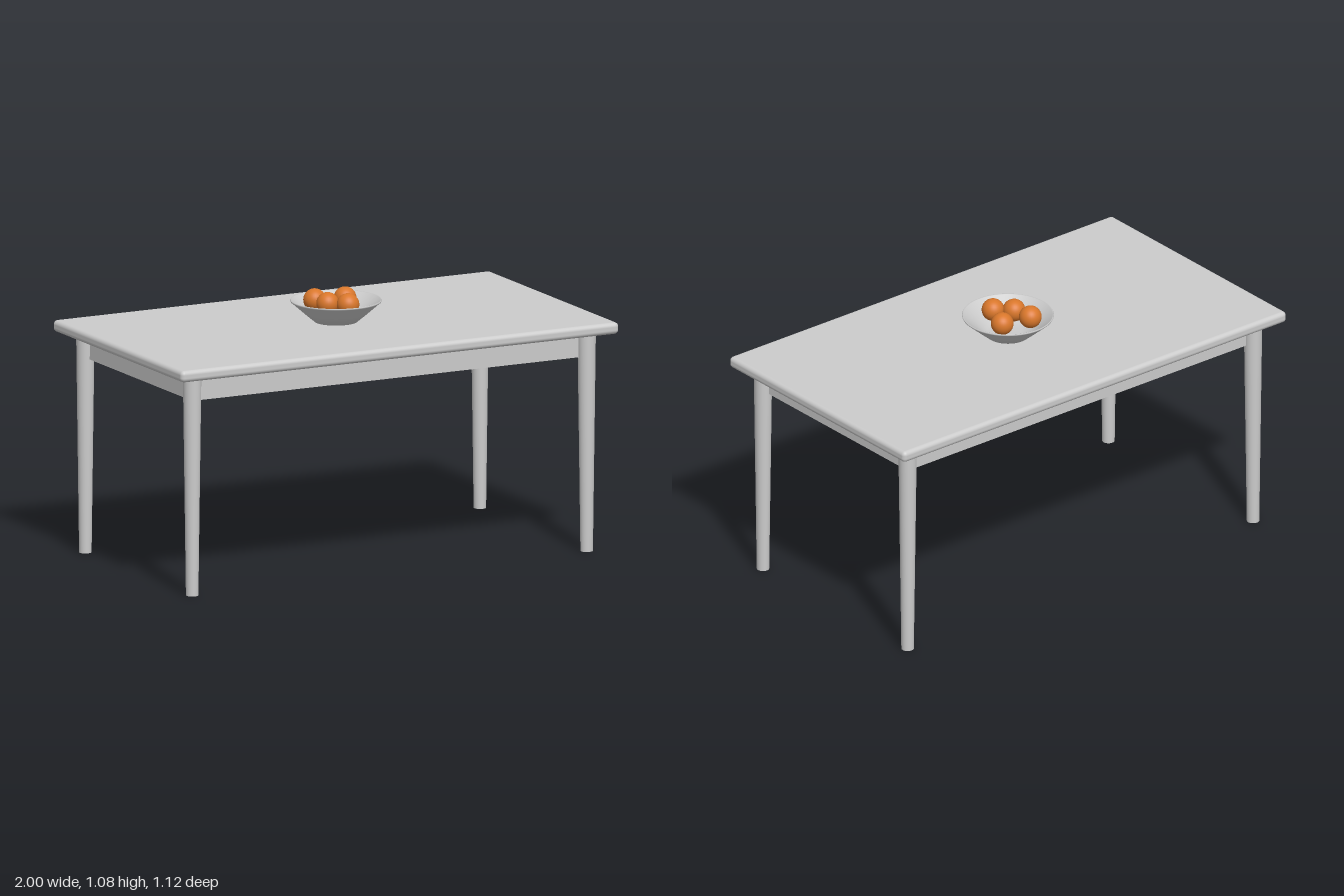
import * as THREE from 'three';
import { RoundedBoxGeometry } from 'three/addons/geometries/RoundedBoxGeometry.js';

export function createModel() {
  const model = new THREE.Group();
  model.name = 'diningTable';
  const grey = new THREE.MeshStandardMaterial({ color: 0xcccccc });
  const bowlGrey = new THREE.MeshStandardMaterial({ color: 0xcccccc, side: THREE.DoubleSide });
  const orange = new THREE.MeshStandardMaterial({ color: 0xd9772b });

  const add = (name, geometry, material, x, y, z) => {
    const mesh = new THREE.Mesh(geometry, material);
    mesh.name = name;
    mesh.position.set(x, y, z);
    model.add(mesh);
  };

  // Top with softened edges, and the solid apron block below it
  add('tableTop', new RoundedBoxGeometry(2, 0.048, 1.12, 4, 0.018), grey, 0, 0.928, 0);
  add('apron', new THREE.BoxGeometry(1.8, 0.102, 0.922), grey, 0, 0.854, 0);

  // Tapered round legs at the four corners
  const legHeight = 0.905;
  const legGeometry = new THREE.CylinderGeometry(0.0375, 0.0255, legHeight, 32);
  for (const [endName, sz] of [['front', 1], ['back', -1]]) {
    for (const [sideName, sx] of [['Left', 1], ['Right', -1]]) {
      add(`${endName}${sideName}Leg`, legGeometry, grey, sx * 0.901, legHeight / 2, sz * 0.461);
    }
  }

  // Shallow flared bowl: outside, rounded rim, then inside
  const profile = [
    [0, 0], [0.087, 0], [0.13, 0.036], [0.174, 0.075], [0.184, 0.083], [0.186, 0.087],
    [0.184, 0.09], [0.18, 0.089], [0.13, 0.047], [0.085, 0.012], [0.05, 0.008], [0, 0.008],
  ].map(([r, y]) => new THREE.Vector2(r, y));
  add('bowl', new THREE.LatheGeometry(profile, 64), bowlGrey, 0, 0.952, 0);

  // Fruit in the bowl
  const fruitGeometry = new THREE.SphereGeometry(0.046, 32, 20);
  const fruitSpots = [[-0.064, -0.064], [0.062, -0.039], [-0.051, 0.024], [0.012, 0.081]];
  fruitSpots.forEach(([x, z], i) => add(`fruit${i + 1}`, fruitGeometry, orange, x, 1.035, z));

  return model;
}
